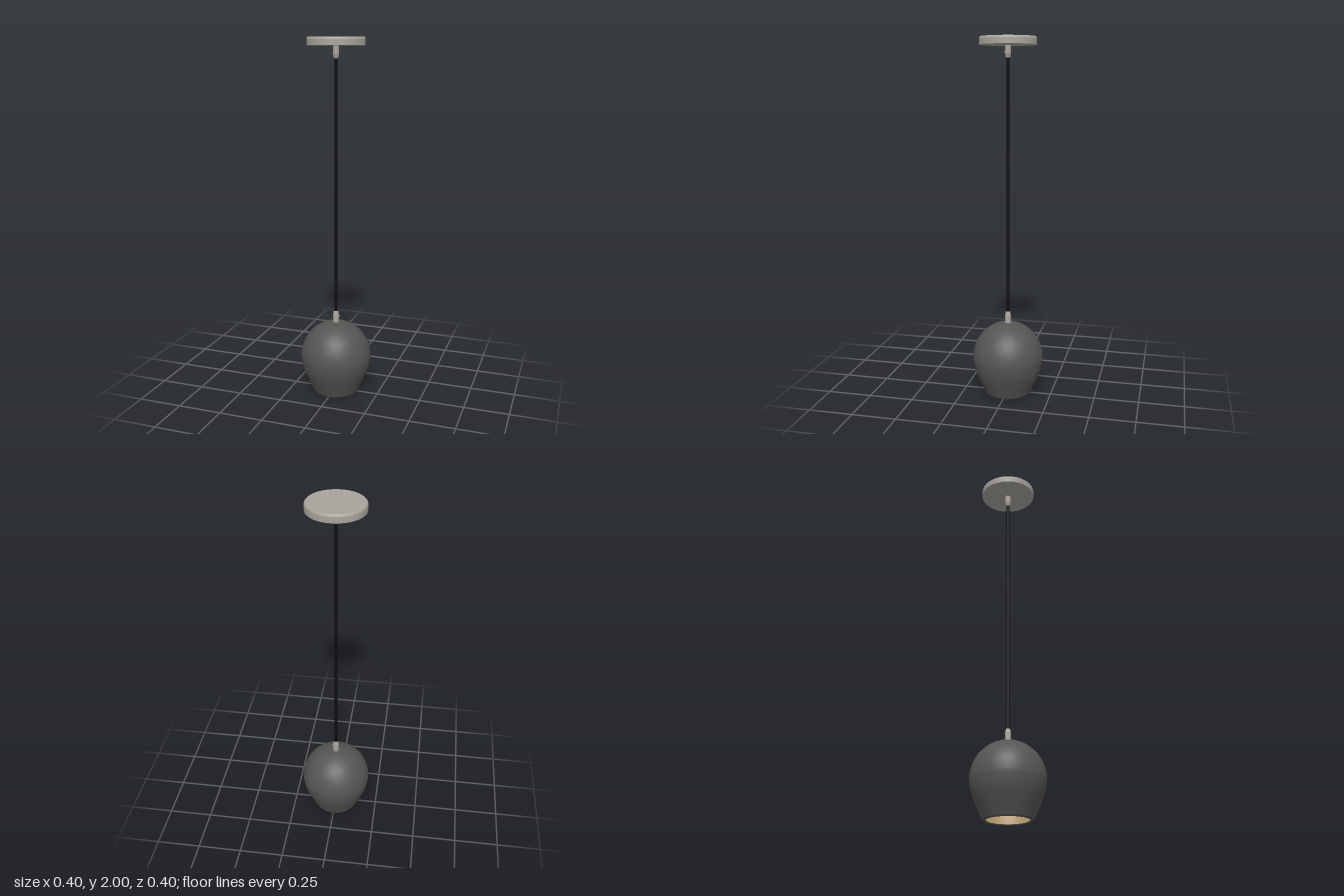
import * as THREE from 'three';

const V = (x, y) => new THREE.Vector2(x, y);
const mat = (name, color, side = THREE.FrontSide) => {
  const m = new THREE.MeshStandardMaterial({ color, side });
  m.name = name;
  return m;
};

export function createModel() {
  const group = new THREE.Group();
  const nickel = mat('warm grey metal', 0xa8a49d);
  const charcoal = mat('charcoal', 0x565553);
  const gold = mat('gold lining', 0xb0956a);
  const black = mat('black cord', 0x0c0c0c);

  const add = (name, geometry, material, parent = group) => {
    const mesh = new THREE.Mesh(geometry, material);
    mesh.name = name;
    parent.add(mesh);
    return mesh;
  };
  // Repeated profile points keep crisp edges between smooth surfaces
  const lathe = (points, segments = 64) => new THREE.LatheGeometry(points, segments);

  // Shade wall: curved flare up to the widest point, then a round dome
  const lower = new THREE.SplineCurve([
    V(0.133, 0.008), V(0.147, 0.04), V(0.17, 0.092), V(0.19, 0.146), V(0.2, 0.205),
  ]).getPoints(20);
  const dome = [];
  for (let i = 1; i <= 24; i++) {
    const a = (i / 24) * Math.PI / 2;
    dome.push(V(Math.max(0, 0.2 * Math.cos(a)), 0.205 + 0.208 * Math.sin(a)));
  }
  const wall = [...lower, ...dome];
  add('shadeOuter', lathe(wall, 96), charcoal);

  // Flat rim with a softened outer edge
  add('shadeRim', lathe([
    V(0.112, 0.004), V(0.114, 0), V(0.114, 0), V(0.127, 0), V(0.127, 0), V(0.131, 0.003), V(0.133, 0.008),
  ], 96), charcoal);

  // Inner lining follows the wall, facing inward
  const lining = wall.map((p) => V(p.x * 0.9, 0.004 + (p.y - 0.008) * 0.965));
  lining[0].x = 0.112;
  add('shadeLining', lathe(lining.reverse(), 96), gold);

  // Ceiling canopy
  add('canopy', lathe([
    V(0, 1.955), V(0.152, 1.955), V(0.152, 1.955), V(0.155, 1.958), V(0.155, 1.958),
    V(0.155, 1.988), V(0.155, 1.988), V(0.1535, 1.995), V(0.148, 2), V(0.148, 2), V(0, 2),
  ], 96), nickel);

  // Cord
  add('cord', new THREE.CylinderGeometry(0.008, 0.008, 1.5, 20).translate(0, 1.185, 0), black);

  // Cord grips: one on the shade, one mirrored below the canopy
  const grip = [
    V(0.017, 0), V(0.017, 0.042), V(0.0165, 0.048), V(0.013, 0.064), V(0.011, 0.068),
    V(0.011, 0.068), V(0.007, 0.068),
  ];
  const addScrew = (name, x, y, z, radius, length) => {
    const screw = add(name, new THREE.CylinderGeometry(radius, radius, length, 16), nickel);
    screw.position.set(x, y, z);
    screw.quaternion.setFromUnitVectors(
      new THREE.Vector3(0, 1, 0), new THREE.Vector3(x, 0, z).normalize());
  };
  add('lowerCordGrip', lathe(grip, 32), nickel).position.y = 0.41;
  add('upperCordGrip', lathe(grip.map((p) => V(p.x, 1.957 - p.y)).reverse(), 32), nickel);

  // Set screws on the grips and on the canopy edge
  addScrew('lowerGripScrew', 0.016, 0.449, 0, 0.006, 0.01);
  addScrew('upperGripScrew', -0.007, 1.918, 0.0145, 0.006, 0.01);
  addScrew('canopyScrew', 0.071, 1.977, -0.138, 0.006, 0.008);

  return group;
}
